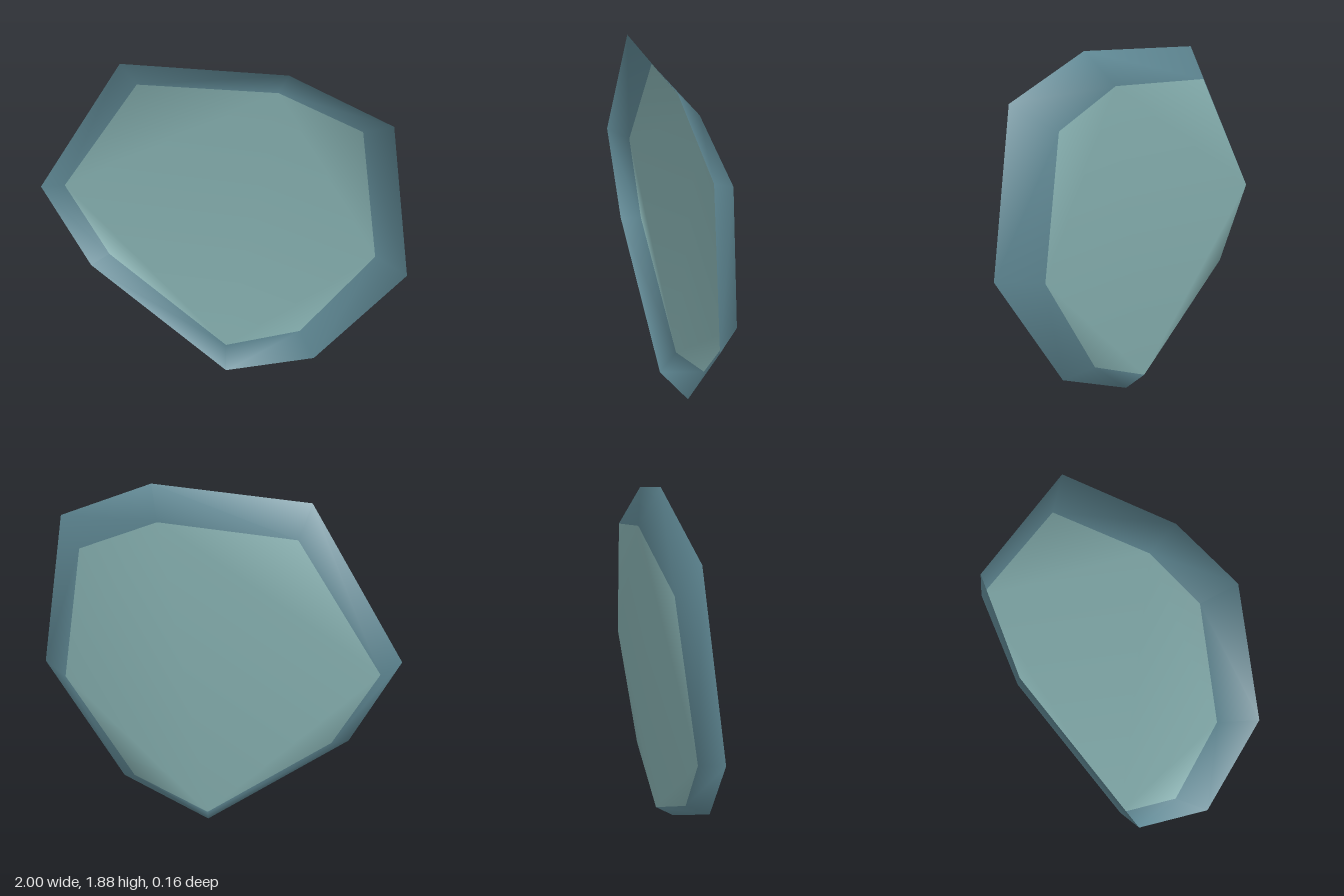
import * as THREE from 'three';

export function createModel() {
  const group = new THREE.Group();
  group.name = 'shallowDish';

  const rimColour = new THREE.MeshStandardMaterial({ color: 0x5f8894, side: THREE.DoubleSide });
  rimColour.name = 'slate teal';
  const floorColour = new THREE.MeshStandardMaterial({ color: 0x86b0b0, side: THREE.DoubleSide });
  floorColour.name = 'pale teal';

  // Open front rim, counter-clockwise seen from the front
  const rimZ = 0.08;
  const rim = [
    [-1, 1.04], [-0.74, 0.575], [0.04, 0], [0.54, 0.2],
    [1, 0.84], [0.87, 1.68], [0.35, 1.88], [-0.51, 1.83],
  ];
  // Recessed floor corners, slightly deeper on the +x side
  const floor = [
    [-0.91, 1.0, -0.03], [-0.67, 0.595, -0.025], [0.01, 0.095, -0.025], [0.43, 0.27, -0.045],
    [0.81, 0.82, -0.075], [0.7, 1.545, -0.077], [0.27, 1.71, -0.057], [-0.47, 1.665, -0.04],
  ];
  const n = rim.length;
  const positions = [...rim.flatMap(([x, y]) => [x, y, rimZ]), ...floor.flat()];

  // Sloping band between rim and floor
  const index = [];
  for (let i = 0; i < n; i++) {
    const j = (i + 1) % n;
    index.push(i, j, n + j, i, n + j, n + i);
  }
  const bandCount = index.length;

  // Floor
  const outline = floor.map(([x, y]) => new THREE.Vector2(x, y));
  for (const [a, b, c] of THREE.ShapeUtils.triangulateShape(outline, [])) {
    index.push(n + a, n + b, n + c);
  }

  // Shared corners give soft shading across band and floor
  const geometry = new THREE.BufferGeometry();
  geometry.setAttribute('position', new THREE.Float32BufferAttribute(positions, 3));
  geometry.setIndex(index);
  geometry.addGroup(0, bandCount, 0);
  geometry.addGroup(bandCount, index.length - bandCount, 1);
  geometry.computeVertexNormals();

  const dish = new THREE.Mesh(geometry, [rimColour, floorColour]);
  dish.name = 'dishShell';
  group.add(dish);
  return group;
}
